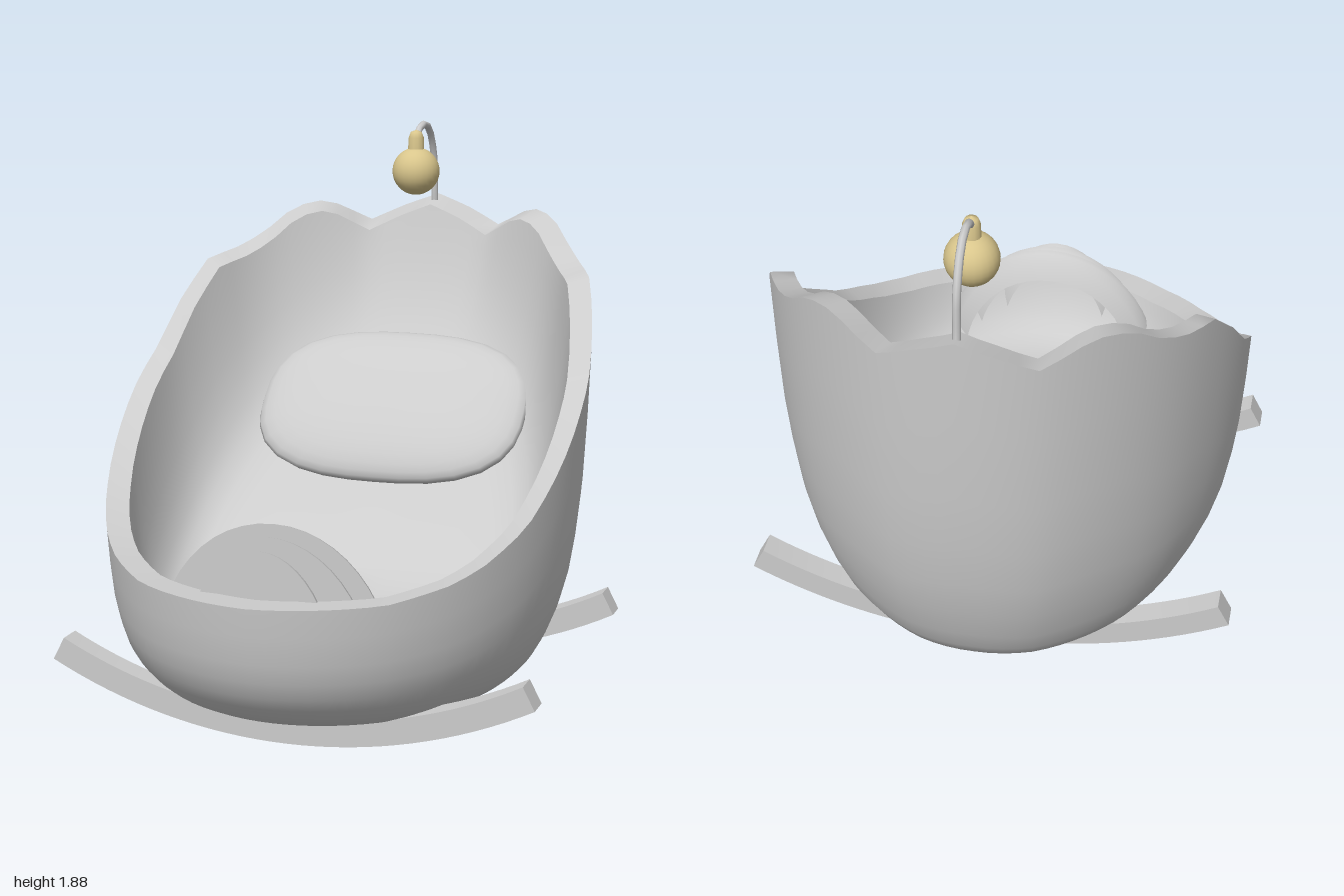
import * as THREE from 'three';
import { mergeVertices, toCreasedNormals } from 'three/addons/utils/BufferGeometryUtils.js';

const SEG = 80;

// Rim height by angle in degrees from the front; the back is scalloped
const RIM = [[0, .55], [31, .56], [45, .595], [53, .63], [66, .72], [78, .86], [90, 1.01], [100, 1.12],
  [108, 1.26], [117, 1.39], [126, 1.42], [133, 1.46], [141.5, 1.55], [148, 1.57], [153, 1.555], [162, 1.495],
  [171, 1.55], [180, 1.595]];

function rimHeight(a) {
  let d = THREE.MathUtils.radToDeg(a);
  if (d > 180) d = 360 - d;
  for (let i = 1; i < RIM.length; i++) {
    const [d0, y0] = RIM[i - 1], [d1, y1] = RIM[i];
    if (d <= d1) return y0 + (y1 - y0) * (d - d0) / (d1 - d0);
  }
  return RIM[RIM.length - 1][1];
}

// Closed rings of points joined into a smooth skin
function skin(rings) {
  const pos = [], idx = [];
  rings.forEach((ring) => {
    for (let j = 0; j < SEG; j++) pos.push(...ring(j / SEG * Math.PI * 2));
  });
  for (let i = 0; i < rings.length - 1; i++) {
    for (let j = 0; j < SEG; j++) {
      const k = (j + 1) % SEG;
      const a = i * SEG + j, b = i * SEG + k, c = a + SEG, d = b + SEG;
      idx.push(a, b, d, a, d, c);
    }
  }
  const g = new THREE.BufferGeometry();
  g.setAttribute('position', new THREE.Float32BufferAttribute(pos, 3));
  g.setIndex(idx);
  g.computeVertexNormals();
  return g;
}

// Outer wall: r is the share of the full oval, h the share of the height to the rim
const outerRing = (r, h) => (a) =>
  [.792 * r * Math.sin(a), .088 + (rimHeight(a) - .088) * h, .998 * r * Math.cos(a)];

// Inside: flat in front, a reclined slope behind, walls curling up to the rim
const innerRing = (r) => (a) => {
  const z = .895 * r * Math.cos(a);
  const m = 1.02 * (.03 - z);
  const floor = .3 + (m + Math.sqrt(m * m + .04)) / 2;
  const rim = rimHeight(a) - .015 + .015 * Math.cos(a);
  return [.72 * r * Math.sin(a), floor + (rim - floor) * Math.pow(r, 12), z];
};

export function createModel() {
  const model = new THREE.Group();
  const grey = new THREE.MeshStandardMaterial({ color: 0xcccccc });
  grey.name = 'pale grey';
  const gold = new THREE.MeshStandardMaterial({ color: 0xd9c68c });
  gold.name = 'soft gold';

  const add = (name, geometry, material, parent = model) => {
    const mesh = new THREE.Mesh(geometry, material);
    mesh.name = name;
    parent.add(mesh);
    return mesh;
  };

  // Cradle shell
  const shell = new THREE.Group();
  shell.name = 'cradleShell';
  model.add(shell);
  const profile = [[0, 0], [.3, 0], [.58, .003], [.68, .014], [.77, .05], [.81, .09], [.85, .15], [.895, .24],
    [.93, .34], [.955, .46], [.975, .6], [.99, .8], [1, 1]];
  add('outerWall', skin(profile.map(([r, h]) => outerRing(r, h))), grey, shell);
  add('rim', skin([outerRing(1, 1), innerRing(1)]), grey, shell);
  const steps = [1, .985, .965, .94, .91, .87, .82, .75, .65, .5, .35, .2, 0];
  add('innerLining', skin(steps.map(innerRing)), grey, shell);

  // Rockers: curved square bars
  const R = 1.78, T = .085, half = .478;
  const bar = new THREE.Shape();
  bar.absarc(0, R, R, -Math.PI / 2 - half, -Math.PI / 2 + half, false);
  bar.absarc(0, R, R - T, -Math.PI / 2 + half, -Math.PI / 2 - half, true);
  const barGeometry = toCreasedNormals(
    new THREE.ExtrudeGeometry(bar, { depth: .085, bevelEnabled: false, curveSegments: 16 }), .6);
  for (const [name, z] of [['frontRocker', .6], ['backRocker', -.488]]) {
    add(name, barGeometry, grey).position.z = z - .0425;
  }

  // Pillow: sphere pulled into a rounded rectangle, tilted onto the slope
  let pillow = new THREE.SphereGeometry(1, 32, 16);
  pillow.deleteAttribute('uv');
  pillow.deleteAttribute('normal');
  const p = pillow.attributes.position;
  for (let i = 0; i < p.count; i++) {
    const x = p.getX(i), y = p.getY(i), z = p.getZ(i);
    const rad = Math.hypot(x, z);
    const a = Math.atan2(z, x);
    const c = Math.cos(a), s = Math.sin(a);
    const k = Math.pow(Math.abs(c) ** 2.7 + Math.abs(s) ** 2.7, -1 / 2.7) * Math.pow(rad, .8);
    p.setXYZ(i, .49 * c * k, .085 * y, .315 * s * k);
  }
  pillow = mergeVertices(pillow, 1e-5);
  pillow.computeVertexNormals();
  const pillowMesh = add('pillow', pillow, grey);
  pillowMesh.rotation.x = THREE.MathUtils.degToRad(45);
  pillowMesh.position.set(0, .892, -.455);

  // Folded blanket: three stepped half ovals at the foot end
  const fold = [[.8, 0], [.93, .025], [.99, .05], [1, .066], [0, .066]].map(([x, y]) => new THREE.Vector2(x, y));
  const foldGeometry = toCreasedNormals(
    new THREE.LatheGeometry(fold, 24, Math.PI / 2, Math.PI).rotateX(Math.PI / 2), .7);
  [[.684, .395, .455], [.749, .35, .43], [.814, .25, .4]].forEach(([z, w, h], i) => {
    const m = add('blanketFold' + (i + 1), foldGeometry, grey);
    m.scale.set(w, h, 1);
    m.position.set(0, .3, z);
  });

  // Hook arm with hanging ball
  const path = new THREE.CurvePath();
  const pts = [[1.53, -.955], [1.61, -.947], [1.74, -.935], [1.85, -.865], [1.862, -.77], [1.82, -.715]]
    .map(([y, z]) => new THREE.Vector3(0, y, z));
  const arm = new THREE.CatmullRomCurve3(pts, false, 'centripetal');
  add('hookArm', new THREE.TubeGeometry(arm, 10, .013, 8), grey);
  add('hangingBall', new THREE.SphereGeometry(.085, 24, 16), gold).position.set(0, 1.705, -.715);
  const neck = [[.03, 0], [.028, .05], [.02, .07], [0, .078]].map(([x, y]) => new THREE.Vector2(x, y));
  add('ballNeck', new THREE.LatheGeometry(neck, 12), gold).position.set(0, 1.775, -.715);

  return model;
}
